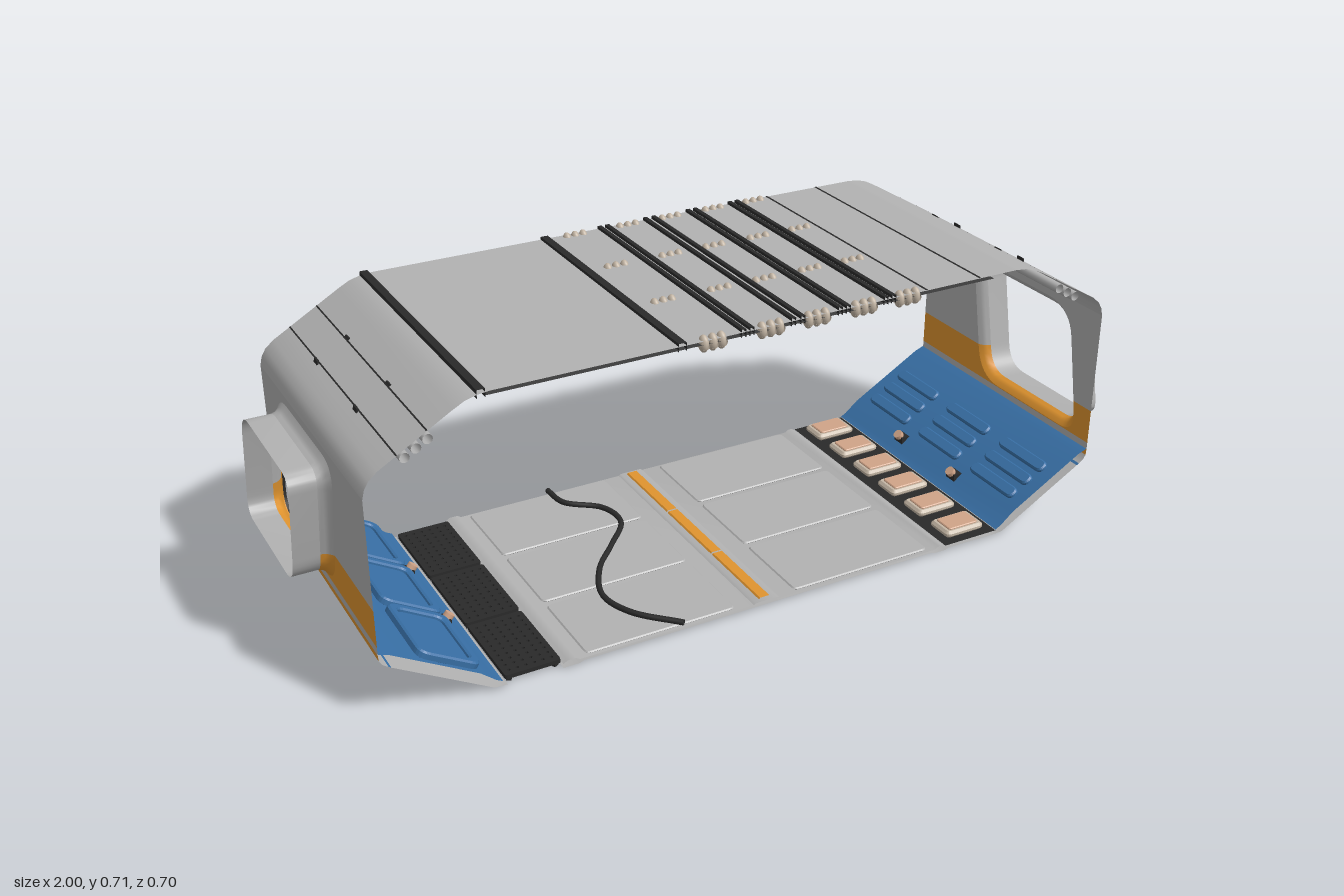
import * as THREE from 'three';
import { toCreasedNormals } from 'three/addons/utils/BufferGeometryUtils.js';

const HALF = 0.345;      // half length of the section along z
const WALL = 0.915;      // x of the upright wall
const STRIPE = 0.275;    // top of the wide painted stripe

function material(name, color) {
  const m = new THREE.MeshStandardMaterial({ color, side: THREE.DoubleSide });
  m.name = name;
  return m;
}

export function createModel() {
  const grey = material('panel grey', 0xb2b2b2);
  const dark = material('lining charcoal', 0x3c3c3c);
  const black = material('rubber black', 0x2a2a2a);
  const orange = material('stripe orange', 0xe0942f);
  const blue = material('panel blue', 0x386fa5);
  const beige = material('hose beige', 0xc4b6a5);
  const tan = material('pad tan', 0xd0a488);

  const model = new THREE.Group();
  model.name = 'corridorSection';

  const add = (parent, name, geo, mat, x = 0, y = 0, z = 0) => {
    const m = new THREE.Mesh(geo, mat);
    m.name = name;
    m.position.set(x, y, z);
    parent.add(m);
    return m;
  };

  // Surface through rows of [x, y, z] points
  function grid(rows) {
    const n = rows[0].length, index = [];
    for (let r = 0; r < rows.length - 1; r++)
      for (let i = 0; i < n - 1; i++) {
        const a = r * n + i, b = a + n;
        index.push(a, b, a + 1, a + 1, b, b + 1);
      }
    const g = new THREE.BufferGeometry();
    g.setAttribute('position', new THREE.Float32BufferAttribute(rows.flat(2), 3));
    g.setIndex(index);
    return toCreasedNormals(g, 0.6);
  }
  // Open sheet: an x-y profile drawn out along z
  const sheet = (parent, name, mat, profile, z0 = -HALF, z1 = HALF) =>
    add(parent, name, grid([z1, z0].map(z => profile.map(([x, y]) => [x, y, z]))), mat);

  // Rounded slab lying flat, w along x, l along z, optionally with a hole
  function roundedPath(P, w, l, r) {
    const p = new P(), a = w / 2, b = l / 2;
    p.moveTo(-a + r, -b).lineTo(a - r, -b).quadraticCurveTo(a, -b, a, -b + r).lineTo(a, b - r)
      .quadraticCurveTo(a, b, a - r, b).lineTo(-a + r, b).quadraticCurveTo(-a, b, -a, b - r)
      .lineTo(-a, -b + r).quadraticCurveTo(-a, -b, -a + r, -b);
    return p;
  }
  function slab(w, l, h, r, rim = 0, bevel = 0.004) {
    const s = roundedPath(THREE.Shape, w - 2 * bevel, l - 2 * bevel, r);
    if (rim) s.holes.push(roundedPath(THREE.Path, w - 2 * rim, l - 2 * rim, r));
    return new THREE.ExtrudeGeometry(s, { depth: h - bevel, curveSegments: 5, bevelEnabled: true,
      bevelSize: bevel, bevelThickness: bevel, bevelSegments: 1 }).rotateX(-Math.PI / 2);
  }

  // Leaning window outline grown by d, split at the stripe height into two open runs of [z, y]
  function outline(d) {
    const y0 = 0.21 - d, y1 = 0.49 + d, hw = 0.1725 + 1.02 * d;
    const at = (side, y) => [0.0735 + side * hw - 0.2 * (y - 0.35), y];
    const corner = (from, c, to, t) => {
      const toward = q => {
        const v = new THREE.Vector2(q[0] - c[0], q[1] - c[1]).setLength(t + d);
        return new THREE.Vector2(c[0] + v.x, c[1] + v.y);
      };
      return new THREE.QuadraticBezierCurve(toward(from), new THREE.Vector2(...c), toward(to))
        .getPoints(8).map(p => [p.x, p.y]);
    };
    const bl = at(1, y0), br = at(-1, y0), tr = at(-1, y1), tl = at(1, y1);
    const L = at(1, STRIPE), R = at(-1, STRIPE);
    return {
      lower: [L, ...corner(tl, bl, br, 0.044), ...corner(bl, br, tr, 0.058), R],
      upper: [R, ...corner(br, tr, tl, 0.044), ...corner(tr, tl, bl, 0.062), L],
    };
  }
  const loft = (parent, name, mat, part, rings) => add(parent, name,
    grid(rings.map(([x, d]) => outline(d)[part].map(([z, y]) => [x, y, z]))), mat);

  function wallBand(parent, name, mat, part, yEdge) {
    const hole = outline(0.02)[part], s = part === 'lower' ? 1 : -1;
    const pts = [[s * HALF, STRIPE], ...hole, [-s * HALF, STRIPE], [-s * HALF, yEdge], [s * HALF, yEdge]];
    const g = new THREE.ShapeGeometry(new THREE.Shape(pts.map(p => new THREE.Vector2(...p))));
    add(parent, name, g.rotateY(-Math.PI / 2).translate(WALL, 0, 0), mat);
  }

  // One side wall, built on +x; the other is the same turned half way round
  for (const s of [1, -1]) {
    const side = new THREE.Group();
    side.name = s > 0 ? 'leftWall' : 'rightWall';
    side.rotation.y = s > 0 ? 0 : Math.PI;
    model.add(side);

    wallBand(side, 'upperWall', grey, 'upper', 0.53);
    wallBand(side, 'wideStripe', orange, 'lower', 0.188);
    sheet(side, 'stripeGap', grey, [[WALL, 0.188], [WALL, 0.17]]);
    sheet(side, 'narrowStripe', orange, [[WALL, 0.17], [0.914, 0.155]]);
    sheet(side, 'lowerBend', grey, [[0.914, 0.155], [0.908, 0.145], [0.895, 0.136]]);
    sheet(side, 'liningEdge', blue, [[0.895, 0.136], [0.889, 0.132]]);
    sheet(side, 'shoulder', grey, [[WALL, 0.53], [0.91, 0.55], [0.9, 0.567], [0.88, 0.584], [0.84, 0.607],
      [0.775, 0.645], [0.72, 0.677], [0.695, 0.69], [0.67, 0.697], [0.64, 0.7]]);
    for (const [x, y] of [[0.84, 0.6078], [0.775, 0.6458]])
      sheet(side, 'seam', black, [[x + 0.0015, y - 0.0009], [x - 0.0015, y + 0.0009]]);

    // Window: flared lip and tunnel, with a trim ring inside the right wall
    for (const part of ['lower', 'upper']) {
      if (s < 0) {
        loft(side, 'windowTrim', orange, part, [[0.914, 0.036], [0.906, 0.034], [0.906, 0.0205]]);
        loft(side, 'windowGasket', black, part, [[0.906, 0.0205], [0.913, 0.0185]]);
      }
      loft(side, 'windowFlare', part === 'lower' ? orange : grey, part,
        [[WALL, 0.02], [0.922, 0.01], [0.93, 0.003], [0.94, 0]]);
      loft(side, 'windowTunnel', grey, part, [[0.94, 0], [1, 0]]);
    }

    // Sloped underside and blue lining
    sheet(side, 'slopedUnderside', grey, [[0.889, 0.132], [0.67, 0.006], [0.64, 0.004]]);
    sheet(side, 'slopeLining', blue, [[0.65, 0.016], [0.665, 0.024], [0.7, 0.053], [0.89, 0.163], [0.914, 0.172]]);
    const panel = new THREE.Group();
    panel.name = 'slopePanel';
    panel.position.set(s > 0 ? 0.775 : 0.762, s > 0 ? 0.0965 : 0.089, 0);
    panel.rotation.z = 0.525;
    side.add(panel);
    for (const z of [-0.225, 0, 0.225]) {
      if (s > 0) {
        for (const x of [-0.05, 0, 0.05]) add(panel, 'ventSlot', slab(0.032, 0.17, 0.01, 0.012), blue, x, 0, z);
      } else {
        add(panel, 'panelFrame', slab(0.155, 0.215, 0.016, 0.022, 0.016), blue, 0, 0, z);
        add(panel, 'panelInset', slab(0.12, 0.18, 0.008, 0.02), blue, 0, 0, z);
      }
    }
    for (const z of [-0.115, 0.115]) {
      add(side, 'knobBase', new THREE.BoxGeometry(0.024, 0.018, 0.034), black, 0.692, 0.046, z);
      add(side, 'knob', new THREE.CylinderGeometry(0.012, 0.012, 0.012, 12), tan, 0.68, 0.058, z).rotation.z = 0.7;
    }

    // Three pipes under the shoulder, held by hooked clamps
    for (const t of [0.12, 0.5, 0.88]) {
      const pipe = new THREE.CylinderGeometry(0.011, 0.011, 2 * HALF, 12, 1, true).rotateX(Math.PI / 2);
      add(side, 'wallPipe', pipe, grey, 0.832 - 0.065 * t, 0.594 + 0.038 * t, 0);
    }
    const hook = [[0.845, 0.613], [0.847, 0.6], [0.838, 0.59], [0.828, 0.589], [0.765, 0.626],
      [0.757, 0.634], [0.76, 0.645], [0.771, 0.651]];
    const inner = hook.map(([x, y]) => [x + (0.803 - x) * 0.1, y + (0.622 - y) * 0.14]).reverse();
    const hookShape = new THREE.Shape([...hook, ...inner].map(p => new THREE.Vector2(...p)));
    for (const z of [0.117, -0.14])
      add(side, 'pipeClamp', new THREE.ExtrudeGeometry(hookShape, { depth: 0.022, bevelEnabled: false })
        .translate(0, 0, s * z - 0.011), black);
  }

  // Ceiling skin, dark lining, ribs and seams
  sheet(model, 'ceiling', grey, [[-0.64, 0.7], [0.64, 0.7]]);
  sheet(model, 'ceilingLining', dark, [[-0.65, 0.692], [0.58, 0.692]]);
  for (const x of [-0.66, -0.215, -0.07, -0.05, 0.052, 0.075, 0.17, 0.19, 0.288, 0.308]) {
    const w = x < -0.2 ? 0.009 : 0.005;
    sheet(model, 'ceilingRib', black, [[x - w, 0.688], [x - w, 0.707], [x + w, 0.707], [x + w, 0.688]]);
  }
  for (const x of [0.395, 0.54]) sheet(model, 'ceilingSeam', black, [[x - 0.003, 0.7015], [x + 0.003, 0.7015]]);

  // Sagging ceiling hoses in bundles of three, with couplings that rise through the skin
  const sag = [];
  for (let i = 0; i <= 48; i++) {
    const z = -HALF + (2 * HALF * i) / 48;
    sag.push(new THREE.Vector3(0, 0.68 + 0.008 * Math.pow(Math.sin(Math.PI * z / 0.23), 4), z));
  }
  const hose = new THREE.TubeGeometry(new THREE.CatmullRomCurve3(sag), 72, 0.0105, 8);
  const coupling = new THREE.SphereGeometry(1, 12, 8).scale(0.0108, 0.02, 0.014);
  for (const x of [-0.14, 0, 0.115, 0.235, 0.35])
    for (const k of [-1, 0, 1]) {
      add(model, 'ceilingHose', hose, beige, x + k * 0.021, 0, 0);
      for (const z of [-0.334, -0.115, 0.115, 0.334]) add(model, 'hoseCoupling', coupling, beige, x + k * 0.021, 0.69, z);
    }

  // Floor skin and underside with shallow folds
  sheet(model, 'floor', grey, [[-0.51, 0.012], [-0.5, 0.018], [-0.48, 0.018], [-0.47, 0.012],
    [0.47, 0.012], [0.48, 0.018], [0.49, 0.018], [0.5, 0.012]]);
  sheet(model, 'floorUnderside', grey, [[-0.51, 0.002], [-0.47, 0.002], [-0.46, 0.006], [0.46, 0.006],
    [0.47, 0.002], [0.5, 0.002], [0.51, 0.006], [0.64, 0.004]]);
  for (const x of [-0.265, 0.265])
    for (const z of [-0.23, 0, 0.23]) add(model, 'floorPlate', slab(0.375, 0.215, 0.003, 0.012, 0, 0.003), grey, x, 0.014, z);

  // Centre strip
  sheet(model, 'centreStripBed', grey, [[-0.034, 0.0125], [-0.028, 0.016], [0.028, 0.016], [0.034, 0.0125]]);
  for (const z of [-0.225, 0, 0.225])
    sheet(model, 'centreStrip', orange, [[-0.015, 0.0165], [-0.012, 0.02], [0.012, 0.02], [0.015, 0.0165]],
      z - 0.11, z + 0.11);

  // Perforated walkway gratings with crossed bars beneath
  const plate = roundedPath(THREE.Shape, 0.13, 0.215, 0.006);
  for (let i = 0; i < 6; i++)
    for (let j = 0; j < 10; j++) {
      const hole = new THREE.Path();
      hole.absarc(-0.05 + i * 0.02, -0.09 + j * 0.02, 0.0042, 0, Math.PI * 2, true);
      plate.holes.push(hole);
    }
  const grating = new THREE.ExtrudeGeometry(plate, { depth: 0.01, bevelEnabled: false, curveSegments: 3 })
    .rotateX(-Math.PI / 2);
  for (const z of [-0.225, 0, 0.225]) {
    add(model, 'grating', grating, black, -0.575, 0.008, z);
    for (const a of [-1, 1])
      add(model, 'gratingBrace', new THREE.BoxGeometry(0.012, 0.008, 0.235), black, -0.575, 0.004, z).rotation.y = a * 0.5;
  }

  // Padded strip
  sheet(model, 'padBed', black, [[0.5, 0.014], [0.65, 0.014]]);
  for (let i = 0; i < 6; i++) {
    const z = -0.2875 + i * 0.115;
    add(model, 'padFrame', slab(0.11, 0.076, 0.012, 0.008, 0, 0.006), beige, 0.575, 0.02, z);
    add(model, 'pad', slab(0.085, 0.056, 0.004, 0.006, 0, 0.002), tan, 0.575, 0.032, z);
  }

  // Loose cable across the floor
  const path = [[-0.215, 0.345], [-0.3, 0.25], [-0.325, 0.16], [-0.28, 0.05], [-0.21, -0.03], [-0.14, -0.12],
    [-0.15, -0.2], [-0.225, -0.27], [-0.235, -0.345]].map(([x, z]) => new THREE.Vector3(x, 0.024, z));
  add(model, 'floorCable', new THREE.TubeGeometry(new THREE.CatmullRomCurve3(path), 48, 0.007, 8), black);

  return model;
}
